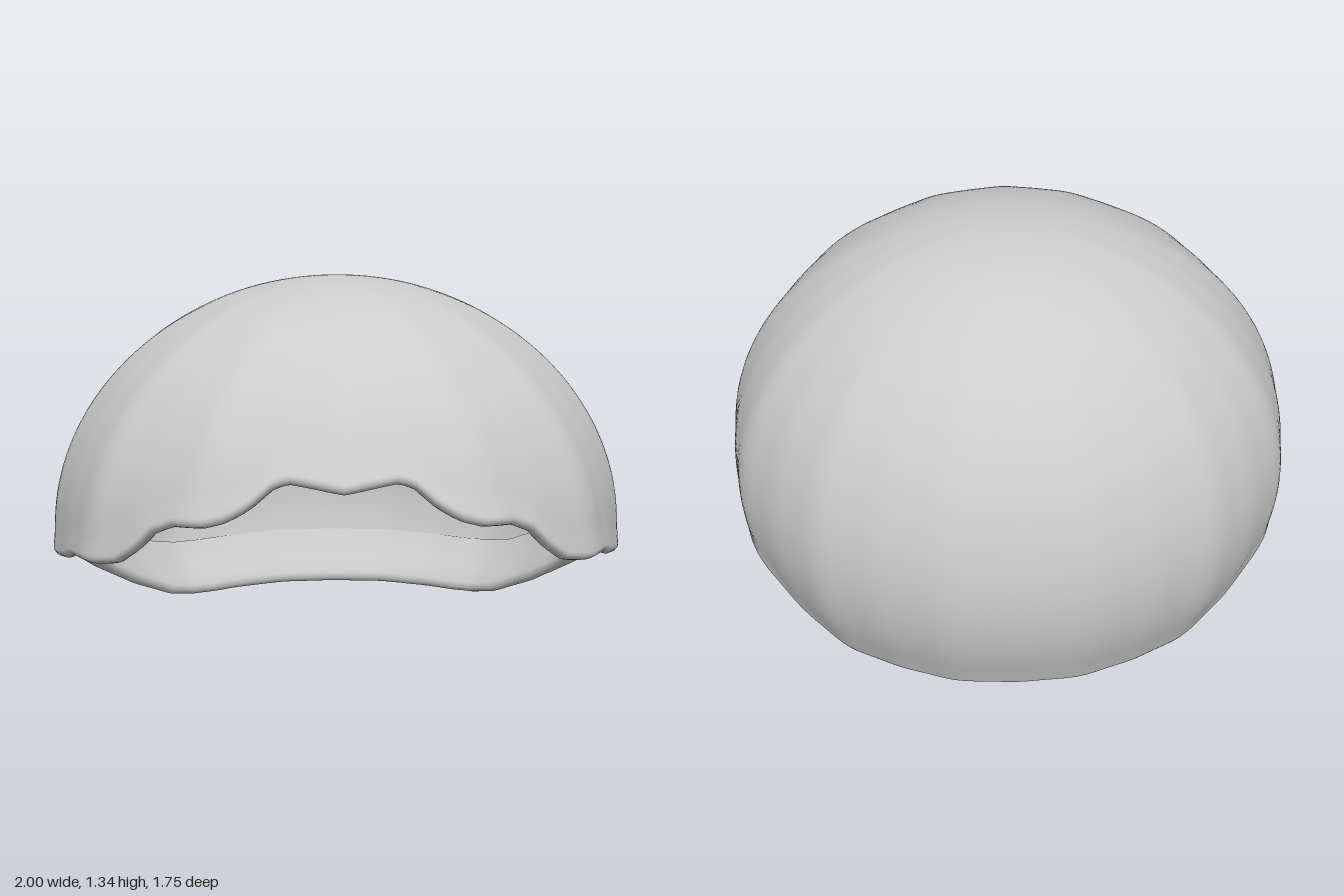
import * as THREE from 'three';
import { mergeVertices } from 'three/addons/utils/BufferGeometryUtils.js';

// Height of the lower edge by angle from the front, in degrees (mirrored left/right)
const RIM = [
  [0, 0.765], [6, 0.78], [11, 0.79], [14, 0.77], [18, 0.71], [22, 0.67], [26, 0.65], [33, 0.64],
  [38, 0.605], [42, 0.54], [47, 0.485], [53, 0.465], [58, 0.46], [65, 0.445], [71, 0.41],
  [78, 0.385], [84, 0.375], [90, 0.35], [96.5, 0.31], [103.5, 0.25], [111, 0.185],
  [120, 0.1], [131, 0.025], [138, 0.004], [144, 0], [180, 0],
];
const CENTRE_Y = 0.45, RY = 0.89, RX = 0.988, RZ_FRONT = 0.92, RZ_BACK = 0.868;
const HALF = 0.028; // half the thickness of the rolled edge
const HEM = 0.22; // polar angle covered by the hem inside the edge

function rimHeight(theta) {
  const d = Math.abs(THREE.MathUtils.radToDeg(theta));
  let i = 1;
  while (i < RIM.length - 1 && RIM[i][0] < d) i++;
  const [a, ya] = RIM[i - 1], [b, yb] = RIM[i];
  return THREE.MathUtils.lerp(ya, yb, Math.min(1, (d - a) / (b - a)));
}

// Point on the fluted dome; tip is the polar angle of the lower edge
function domePoint(theta, phi, scale, tip) {
  const front = (1 + Math.cos(theta)) / 2;
  const s = Math.sin(phi);
  const flute = (0.004 + 0.007 * front) * Math.cos(13 * theta) * s ** 0.6
    + 0.0025 * Math.cos(26 * theta) * s ** 0.4;
  const lip = 0.012 * Math.exp(-(((tip - phi) / 0.06) ** 2));
  const k = scale + flute + lip;
  const rz = Math.cos(theta) > 0 ? RZ_FRONT : RZ_BACK;
  return [
    k * RX * s * Math.sin(theta),
    CENTRE_Y + RY * Math.cos(phi) * (scale + lip),
    k * rz * s * Math.cos(theta) + 0.035 * Math.cos(phi),
  ];
}

// Single skin whose lower edge rolls inwards into a short hem
function shellGeometry() {
  const around = 208, down = 44, roll = 8, hem = 8;
  const pos = [], index = [];
  const rows = down + roll + hem + 1;
  for (let i = 0; i < around; i++) {
    const theta = (i / around) * Math.PI * 2 - Math.PI;
    const tip = Math.acos(THREE.MathUtils.clamp((rimHeight(theta) - CENTRE_Y) / (RY * 0.985), -1, 1));
    const edge = tip - HALF / RY;
    for (let j = 0; j < rows; j++) {
      let phi, scale;
      if (j < down) {
        phi = (edge * j) / down;
        scale = 1;
      } else if (j <= down + roll) {
        const a = ((j - down) / roll) * Math.PI;
        phi = edge + (HALF / RY) * Math.sin(a);
        scale = 1 - HALF + HALF * Math.cos(a);
      } else {
        const t = (j - down - roll) / hem;
        phi = edge - HEM * t;
        scale = THREE.MathUtils.lerp(1 - 2 * HALF, 0.992, t);
      }
      pos.push(...domePoint(theta, phi, scale, tip));
    }
  }
  for (let i = 0; i < around; i++) {
    const n = (i + 1) % around;
    for (let j = 0; j < rows - 1; j++) {
      const a = i * rows + j, b = n * rows + j;
      index.push(a, a + 1, b + 1);
      if (j > 0) index.push(a, b + 1, b);
    }
  }
  let geo = new THREE.BufferGeometry();
  geo.setAttribute('position', new THREE.Float32BufferAttribute(pos, 3));
  geo.setIndex(index);
  geo = mergeVertices(geo, 1e-5);
  geo.computeVertexNormals();
  return geo;
}

export function createModel() {
  const group = new THREE.Group();
  const grey = new THREE.MeshStandardMaterial({ color: 0xcccccc, side: THREE.DoubleSide });
  grey.name = 'light grey';
  const shell = new THREE.Mesh(shellGeometry(), grey);
  shell.name = 'flutedCap';
  group.add(shell);
  return group;
}
